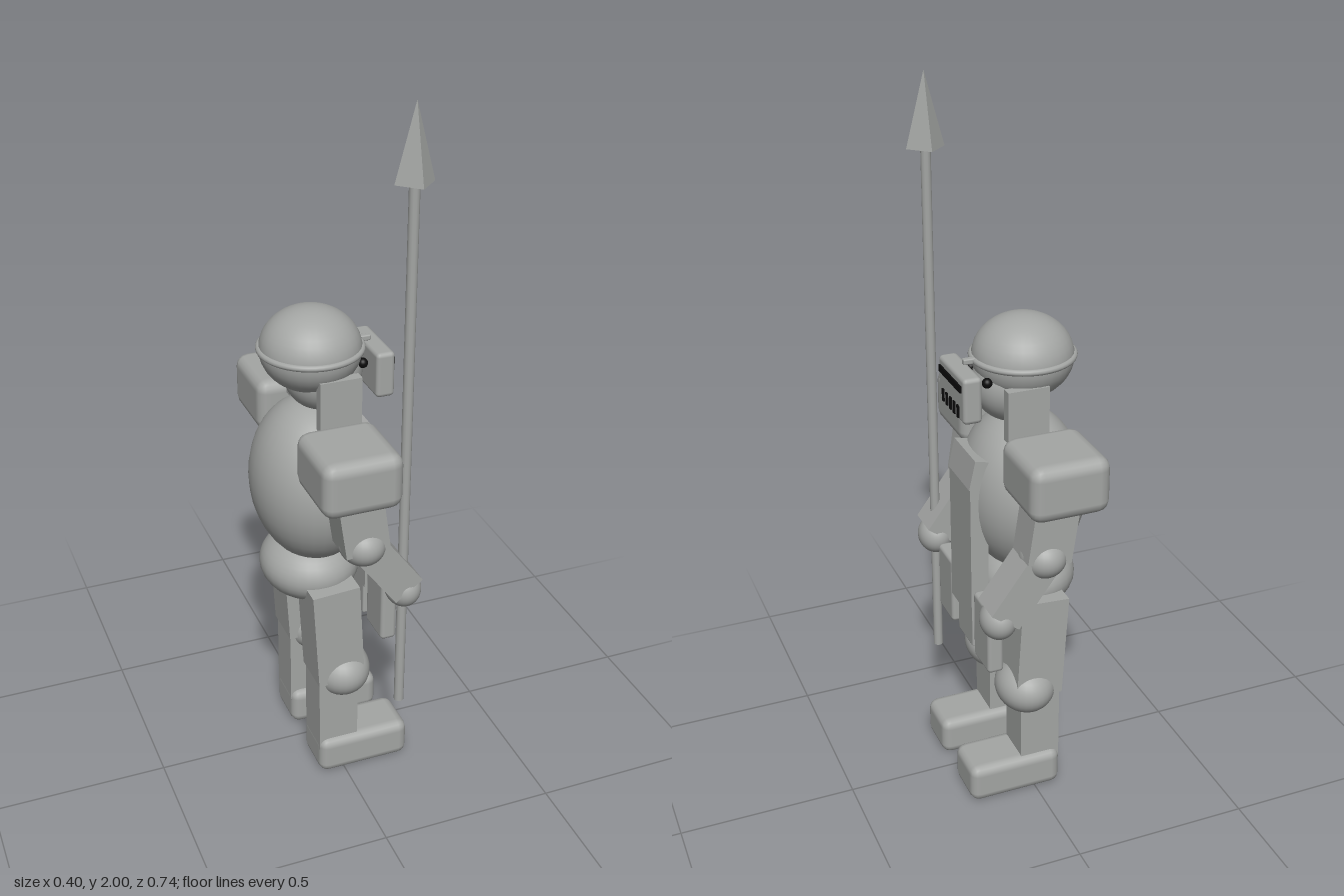
import * as THREE from 'three';
import { RoundedBoxGeometry } from 'three/addons/geometries/RoundedBoxGeometry.js';

export function createModel() {
  const root = new THREE.Group();
  root.name = 'armouredGuard';
  const steel = new THREE.MeshStandardMaterial({ color: 0xa4a6a4 });
  steel.name = 'steel grey';
  const black = new THREE.MeshStandardMaterial({ color: 0x0c0c0c });
  black.name = 'black';

  const add = (name, geo, x, y, z, mat = steel) => {
    const m = new THREE.Mesh(geo, mat);
    m.name = name;
    m.position.set(x, y, z);
    root.add(m);
    return m;
  };
  // Box given by its lower and upper limits, with an optional rounded edge
  const block = (name, [x0, x1], [y0, y1], [z0, z1], r = 0, mat = steel) => {
    const s = [x1 - x0, y1 - y0, z1 - z0];
    const geo = r ? new RoundedBoxGeometry(...s, 2, r) : new THREE.BoxGeometry(...s);
    return add(name, geo, (x0 + x1) / 2, (y0 + y1) / 2, (z0 + z1) / 2, mat);
  };
  const ball = (name, x, y, z, rx, ry = rx, rz = rx, mat = steel) => {
    const geo = new THREE.SphereGeometry(1, 32, 20).scale(rx, ry, rz);
    return add(name, geo, x, y, z, mat);
  };
  // Square limb between two points in a plane of constant z
  const limb = (name, [ax, ay], [bx, by], z, w, d) => {
    const len = Math.hypot(bx - ax, by - ay);
    const m = add(name, new THREE.BoxGeometry(w, len, d), (ax + bx) / 2, (ay + by) / 2, z);
    m.rotation.z = Math.atan2(bx - ax, ay - by);
    return m;
  };

  // Body
  ball('torso', -0.03, 0.9, 0, 0.172, 0.24, 0.204);
  ball('hips', -0.04, 0.63, 0, 0.14, 0.1, 0.15);

  // Head and helmet
  ball('head', 0, 1.22, 0, 0.108, 0.11, 0.105);
  ball('helmet', -0.033, 1.29, 0, 0.138, 0.115, 0.138);
  add('helmetRim', new THREE.TorusGeometry(0.137, 0.009, 10, 48).rotateX(Math.PI / 2), -0.033, 1.293, 0);
  block('visorPin', [0.1, 0.137], [1.286, 1.302], [-0.009, 0.009], 0.004);

  // Visor with sight slit and breathing holes
  block('visor', [0.118, 0.171], [1.155, 1.284], [-0.097, 0.097], 0.012);
  block('sightSlit', [0.169, 0.176], [1.243, 1.262], [-0.08, 0.08], 0, black);
  for (let i = -2; i <= 2; i++) {
    const z = i * 0.028;
    block('breathingHole', [0.169, 0.175], [1.165, 1.2], [z - 0.006, z + 0.006], 0, black);
  }

  // Front plates
  block('tabard', [0.1, 0.151], [0.545, 0.955], [-0.08, 0.08]);
  block('tabardTip', [0.105, 0.141], [0.44, 0.56], [-0.058, 0.058], 0.006);
  const bib = block('bib', [0.105, 0.145], [0.95, 1.035], [-0.08, 0.08]);
  bib.rotation.z = 0.22;

  for (const s of [1, -1]) {
    // A side of the head and hips
    const span = (a, b) => (s > 0 ? [a, b] : [-b, -a]);
    ball('eye', 0.092, 1.25, s * 0.06, 0.014, 0.014, 0.014, black);
    block('cheekGuard', [-0.055, 0.062], [1.1, 1.245], span(0.103, 0.132));
    block('tasset', [0.102, 0.149], [0.44, 0.645], span(0.085, 0.2), 0.012);

    // Arm
    block('shoulderPad', [-0.132, 0.09], [0.973, 1.131], span(0.138, 0.368), 0.035);
    limb('upperArm', [-0.02, 1.06], [0.015, 0.82], s * 0.253, 0.125, 0.104);
    ball('elbow', 0.015, 0.823, s * 0.255, 0.064, 0.06, 0.073);
    limb('forearm', [0.02, 0.825], [0.138, 0.665], s * 0.25, 0.096, 0.1);
    ball('hand', 0.14, 0.65, s * 0.25, 0.05, 0.055, 0.058);

    // Leg
    limb('thigh', [-0.028, 0.625], [-0.01, 0.32], s * 0.122, 0.138, 0.13);
    ball('knee', 0.008, 0.325, s * 0.121, 0.085, 0.077, 0.098);
    block('shin', [-0.075, 0.042], [0.08, 0.36], span(0.066, 0.178));
    block('foot', [-0.076, 0.198], [0, 0.116], span(0.045, 0.196), 0.028);
  }

  // Spear
  const sx = 0.138, sz = 0.252;
  add('spearShaft', new THREE.CylinderGeometry(0.014, 0.014, 1.54, 12), sx, 1.035, sz);
  const tip = new THREE.ConeGeometry(0.053, 0.2, 4).toNonIndexed();
  tip.computeVertexNormals();
  add('spearTip', tip, sx, 1.9, sz);

  return root;
}
